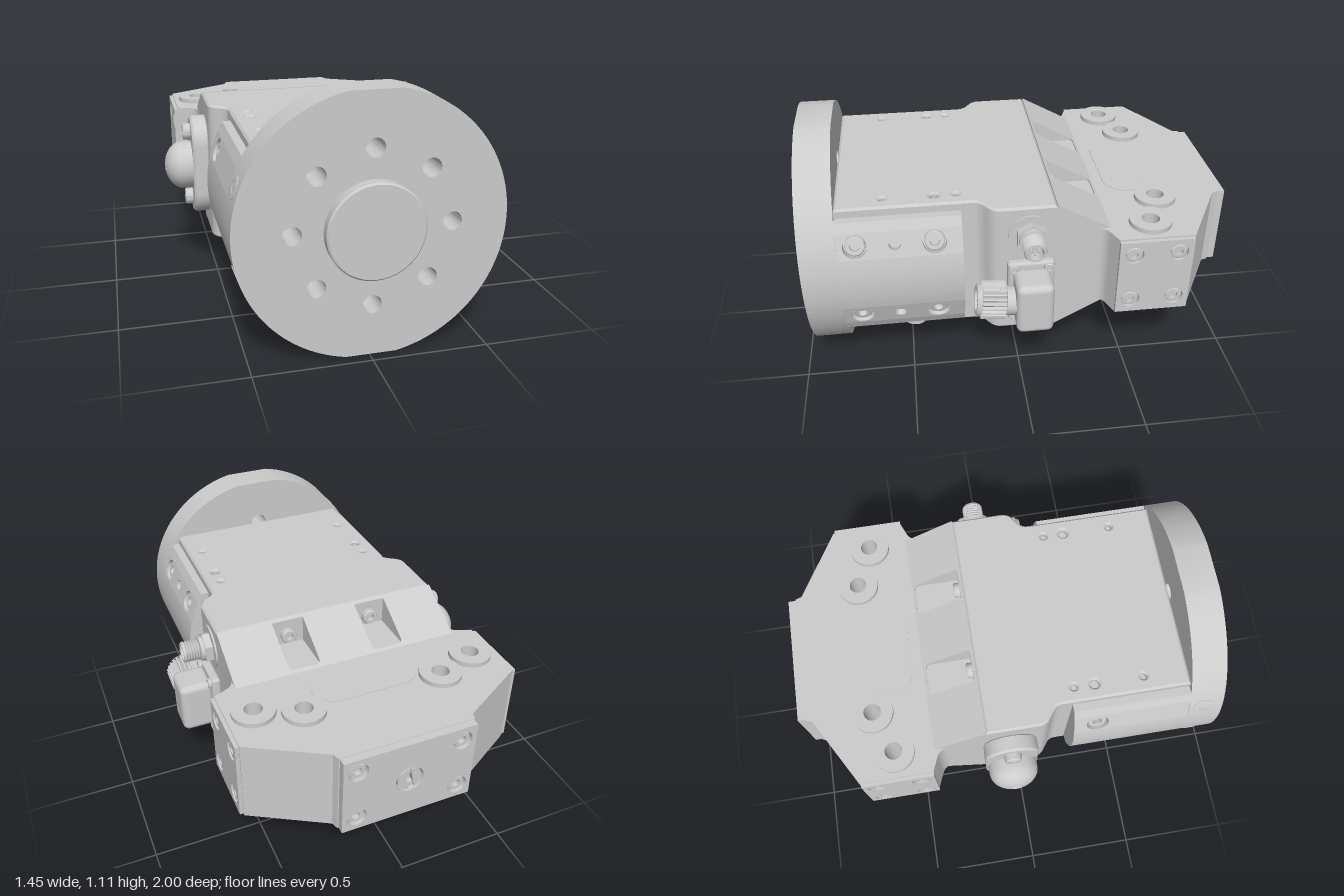
import * as THREE from 'three';
import { toCreasedNormals } from 'three/addons/utils/BufferGeometryUtils.js';
import { RoundedBoxGeometry } from 'three/addons/geometries/RoundedBoxGeometry.js';

const grey = new THREE.MeshStandardMaterial({ color: 0xcccccc });
const R = 0.567;
const V = (x, y) => new THREE.Vector2(x, y);

function add(parent, name, geo, pos = [0, 0, 0], rot = [0, 0, 0]) {
  const m = new THREE.Mesh(geo, grey);
  m.name = name;
  m.position.set(...pos);
  m.rotation.set(...rot);
  parent.add(m);
  return m;
}
function group(parent, name, pos = [0, 0, 0], rot = [0, 0, 0]) {
  const g = new THREE.Group();
  g.name = name;
  g.position.set(...pos);
  g.rotation.set(...rot);
  parent.add(g);
  return g;
}
const circle = (x, y, r) => new THREE.Path().absarc(x, y, r, 0, Math.PI * 2, true);

function extrude(shape, depth, bevel = 0, curveSegments = 14) {
  return toCreasedNormals(new THREE.ExtrudeGeometry(shape, {
    depth, curveSegments, bevelEnabled: bevel > 0, bevelSize: bevel,
    bevelThickness: bevel, bevelOffset: -bevel, bevelSegments: 1,
  }), 0.5);
}
// Plan shapes use (x, -z) and are raised along y
const raise = (shape, depth, bevel) => extrude(shape, depth, bevel).rotateX(-Math.PI / 2);
// Turned parts have their axis along +z
const turned = (pts, n = 28) =>
  toCreasedNormals(new THREE.LatheGeometry(pts.map((p) => V(...p)), n).rotateX(Math.PI / 2), 0.5);

function stadium(w, h) {
  const r = Math.min(w, h) / 2, a = w / 2 - r, b = h / 2 - r, s = new THREE.Shape();
  if (a > b) s.absarc(a, 0, r, -Math.PI / 2, Math.PI / 2).absarc(-a, 0, r, Math.PI / 2, Math.PI * 1.5);
  else s.absarc(0, b, r, 0, Math.PI).absarc(0, -b, r, Math.PI, Math.PI * 2);
  return s.closePath();
}
// Socket-head screw
const screw = (parent, x, y, z, r, h) => add(parent, 'screw',
  turned([[r, 0], [r, h * 0.8], [r * 0.88, h], [r * 0.5, h], [r * 0.5, h * 0.2], [0, h * 0.2]], 18), [x, y, z]);

// Rectangular plate facing +z with sunk screws in its holes
function holedPlate(parent, name, w, h, d, holes, pos, rot) {
  const g = group(parent, name, pos, rot);
  const s = new THREE.Shape([V(-w / 2, -h / 2), V(w / 2, -h / 2), V(w / 2, h / 2), V(-w / 2, h / 2)]);
  for (const [x, y, r] of holes) {
    s.holes.push(circle(x, y, r));
    if (r > 0.03) screw(g, x, y, 0, r * 0.86, d * 0.75);
  }
  add(g, name + 'Face', extrude(s, d));
  return g;
}

function deckShape() {
  const s = new THREE.Shape();
  s.moveTo(-0.453, -0.79).lineTo(0.453, -0.79).lineTo(0.453, -0.2);
  s.bezierCurveTo(0.453, -0.14, 0.535, -0.15, 0.535, -0.08);
  s.lineTo(0.535, 0.16).lineTo(-0.535, 0.16).lineTo(-0.535, -0.08);
  s.bezierCurveTo(-0.535, -0.15, -0.453, -0.14, -0.453, -0.2);
  return s.closePath();
}
const bosses = [[-0.517, 0.58], [-0.322, 0.655], [0.322, 0.655], [0.517, 0.58]];

function rearShape() {
  const s = new THREE.Shape();
  s.moveTo(-0.535, 0.155).lineTo(0.535, 0.155).lineTo(0.535, 0.33);
  s.quadraticCurveTo(0.535, 0.375, 0.575, 0.39).lineTo(0.635, 0.415);
  s.lineTo(0.635, 0.75).lineTo(0.315, 0.935).lineTo(0.305, 0.965).lineTo(-0.305, 0.965);
  s.lineTo(-0.315, 0.935).lineTo(-0.635, 0.75).lineTo(-0.635, 0.415).lineTo(-0.575, 0.39);
  s.quadraticCurveTo(-0.535, 0.375, -0.535, 0.33).closePath();
  for (const [x, z] of bosses) s.holes.push(circle(x, z, 0.04));
  return s;
}

// Sloped shoulder with pockets: a plan extrusion whose top follows the slope
function shoulder(scallops) {
  const s = new THREE.Shape([V(-0.535, 0.16), V(0.535, 0.16), V(0.535, 0.4), V(-0.535, 0.4)]);
  for (const c of [-0.205, 0.205]) {
    const a = c - 0.075, b = c + 0.075, p = new THREE.Path();
    p.moveTo(a, 0.172).lineTo(a, 0.36).quadraticCurveTo(a, 0.385, a + 0.025, 0.385);
    p.lineTo(b - 0.025, 0.385).quadraticCurveTo(b, 0.385, b, 0.36).lineTo(b, 0.172).closePath();
    s.holes.push(p);
  }
  if (scallops) for (const x of [-0.42, 0.42]) s.holes.push(circle(x, 0.265, 0.06));
  const geo = new THREE.ExtrudeGeometry(s, { depth: 1, bevelEnabled: false }).rotateX(-Math.PI / 2);
  const p = geo.attributes.position;
  for (let i = 0; i < p.count; i++)
    p.setY(i, 0.19 + (p.getY(i) > 0.5 ? 0.005 + (p.getZ(i) + 0.4) / 0.24 * 0.133 : 0));
  return toCreasedNormals(geo, 0.5);
}

// Curved side cover, made for +x; holes are given along z
function sideCover(parent, name, turn, holes) {
  const g = group(parent, name, [0, 0, 0], [0, 0, turn]);
  const a0 = 0.231, a1 = 0.443, mid = (a0 + a1) / 2, half = [];
  for (let i = 1; i <= 5; i++) half.push([R, a0 * i / 5]);
  half.push([R - 0.04, a0], [R - 0.04, a1], [R, a1], [R, 0.527]);
  const up = half.map(([r, a]) => V(r * Math.cos(a), r * Math.sin(a)));
  const down = up.map((v) => V(v.x, -v.y)).reverse();
  const s = new THREE.Shape([V(0.44, -0.285), ...down, V(R, 0), ...up, V(0.44, 0.285)]);
  add(g, 'coverCore', extrude(s, 0.54), [0, 0, 0.25]);
  for (const sy of [-1, 1]) {
    const arm = group(g, 'coverBand', [0, 0, 0], [0, 0, sy * mid]);
    holedPlate(arm, 'coverPanel', 0.54, 2 * R * Math.sin((a1 - a0) / 2), 0.04,
      holes.map(([z, r]) => [0.52 - z, 0, r]),
      [R * Math.cos((a1 - a0) / 2) - 0.04, 0, 0.52], [0, Math.PI / 2, 0]);
    // Radial screws in the flange rim
    if (turn) screw(group(arm, 'rimScrew', [R - 0.004, 0, 0.86], [0, Math.PI / 2, 0]), 0, 0, 0, 0.05, 0.006);
  }
}

export function createModel() {
  const root = new THREE.Group();
  root.name = 'toolChanger';
  const g = group(root, 'body', [0.007, 0.557, 0]);

  // Front flange with eight bolt holes, and its hub
  const t = Math.asin(0.557 / R);
  const fl = new THREE.Shape().absarc(0, 0, R, -t, t).absarc(0, 0, R, Math.PI - t, Math.PI + t).closePath();
  for (let i = 0; i < 8; i++) fl.holes.push(circle(0.33 * Math.cos(i * Math.PI / 4), 0.33 * Math.sin(i * Math.PI / 4), 0.04));
  add(g, 'flange', extrude(fl, 0.16, 0, 32), [0, 0, 0.79]);
  add(g, 'hub', turned([[0.205, 0], [0.205, 0.043], [0.198, 0.05], [0, 0.05]], 48), [0, 0, 0.95]);

  // Main housing and rear block
  add(g, 'housing', raise(deckShape(), 0.596), [0, -0.298, 0]);
  add(g, 'rearBlock', raise(rearShape(), 0.39), [0, -0.195, 0]);
  const bossGeo = new THREE.LatheGeometry(
    [V(0.04, -0.217), V(0.095, -0.217), V(0.095, 0.217), V(0.04, 0.217), V(0.04, -0.217)], 32);
  for (const [x, z] of bosses) add(g, 'mountingBoss', toCreasedNormals(bossGeo, 0.5), [x, 0, -z]);

  // Upper and lower decks, shoulders, pocket screws and inlays
  for (const low of [0, 1]) {
    const side = group(g, low ? 'underside' : 'topside', [0, 0, 0], [0, 0, low * Math.PI]);
    const deck = deckShape();
    for (const x of [-0.383, 0.383])
      for (const [z, r] of [[0.265, 0.022], [0.36, 0.028], [0.585, 0.022]]) deck.holes.push(circle(x, -z, r - 0.008));
    add(side, 'deck', raise(deck, 0.02, 0.01), [0, 0.298, 0]);
    add(side, 'shoulder', shoulder(low));
    for (const x of [-0.205, 0.205])
      screw(group(side, 'pocketScrew', [x, 0.245, -0.17], [0, Math.PI, 0]), 0, 0, 0, 0.036, 0.03);
    add(side, 'inlay', raise(stadium(0.49, 0.2), 0.003), [0, 0.195, -0.55]);
    if (low) add(side, 'drainPlug', new THREE.CylinderGeometry(0.055, 0.055, 0.035, 24), [-0.41, 0.309, 0.475]);
  }
  sideCover(g, 'sideCover', 0, [[0.71, 0.052], [0.54, 0.026], [0.37, 0.052]]);
  sideCover(g, 'oppositeSideCover', Math.PI, [[0.36, 0.052]]);

  // Screwed plates on the sides and back of the rear block
  const corners = (x, y, r) => [[-x, -y, r], [x, -y, r], [-x, y, r], [x, y, r]];
  for (const s of [-1, 1])
    holedPlate(g, 'sidePlate', 0.33, 0.375, 0.02, corners(0.1, 0.12, 0.042), [s * 0.633, 0, -0.58], [0, s * Math.PI / 2, 0]);
  const back = holedPlate(g, 'backPlate', 0.6, 0.385, 0.035, [...corners(0.235, 0.125, 0.046), [0, 0, 0.064]],
    [0, 0, -0.965], [0, Math.PI, 0]);
  for (const s of [-1, 1])
    add(back, 'slottedPlug', extrude(new THREE.Shape().absarc(0, 0, 0.054, 0.25, Math.PI - 0.25), 0.034), [0, 0, 0],
      [0, 0, s * Math.PI / 2 + 0.2]);

  // Domed button on its oblong pad
  const button = group(g, 'buttonUnit', [-0.53, 0, -0.05], [0, -Math.PI / 2, 0]);
  add(button, 'buttonPad', extrude(stadium(0.25, 0.48), 0.06, 0.01), [0, 0, 0.01]);
  const dome = [[0.115, 0.07], [0.115, 0.12]];
  for (let i = 1; i <= 8; i++) dome.push([0.115 * Math.cos(i * 0.165), 0.12 + 0.087 * Math.sin(i * 0.165)]);
  add(button, 'dome', turned([...dome, [0.025, 0.19], [0, 0.19]], 32));
  for (const s of [-1, 1]) screw(button, 0, s * 0.165, 0.08, 0.04, 0.035);

  // Threaded round socket with hex nut and pins
  const socket = group(g, 'roundSocket', [0.535, 0.188, -0.045], [0, Math.PI / 2, 0]);
  add(socket, 'socketSeat', turned([[0.1, 0], [0.1, 0.008], [0, 0.008]], 36));
  add(socket, 'hexNut', toCreasedNormals(new THREE.CylinderGeometry(0.072, 0.072, 0.035, 6).rotateX(Math.PI / 2), 0.3), [0, 0, 0.025]);
  const thread = [[0.058, 0.04], [0.058, 0.06]];
  for (let i = 0; i < 6; i++) thread.push([0.044, 0.062 + i * 0.012], [0.05, 0.068 + i * 0.012]);
  add(socket, 'thread', turned([...thread, [0.044, 0.14], [0.036, 0.14], [0.036, 0.09], [0, 0.09]]));
  for (let i = 0; i < 4; i++)
    add(socket, 'pin', turned([[0.006, 0], [0.006, 0.035], [0, 0.038]], 8),
      [0.017 * Math.cos(i * Math.PI / 2), 0.017 * Math.sin(i * Math.PI / 2), 0.09]);

  // Angled plug with ribbed cable nut
  const plug = group(g, 'anglePlug', [0.535, -0.09, -0.045], [0, Math.PI / 2, 0]);
  add(plug, 'plugBase', new RoundedBoxGeometry(0.21, 0.31, 0.045, 2, 0.015), [0, 0, 0.018]);
  for (const [x, y] of corners(0.078, 0.127, 0)) screw(plug, x, y, 0.04, 0.024, 0.014);
  add(plug, 'plugHousing', new RoundedBoxGeometry(0.165, 0.25, 0.16, 3, 0.03), [0, 0, 0.105]);
  const cable = group(g, 'cableNut', [0.63, -0.092, 0.02], [-0.12, 0, 0]);
  add(cable, 'neck', turned([[0.065, 0], [0.065, 0.07], [0, 0.07]]));
  const ribs = [];
  for (let i = 0; i < 72; i++) {
    const a = i * Math.PI / 36, r = i % 3 === 0 ? 0.074 : 0.084;
    ribs.push(V(r * Math.cos(a), r * Math.sin(a)));
  }
  add(cable, 'ribbedNut', extrude(new THREE.Shape(ribs), 0.1, 0.006), [0, 0, 0.066]);
  add(cable, 'nutCap', turned([[0.078, 0.17], [0.066, 0.19], [0.05, 0.19], [0.05, 0.177], [0, 0.177]]));
  return root;
}
